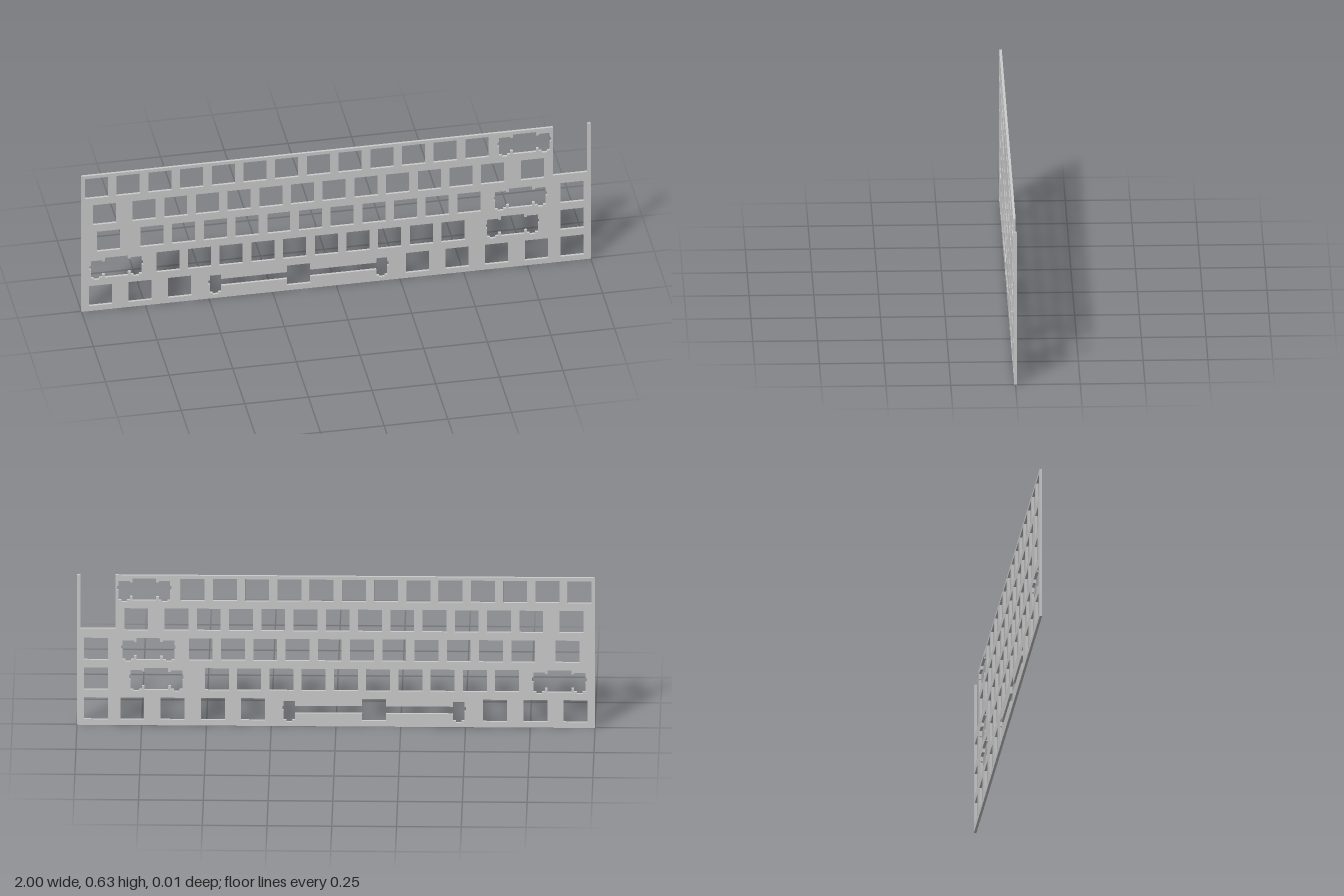
import * as THREE from 'three';

const U = 0.1245;            // key pitch
const MM = U / 19.05;        // one millimetre
const X0 = -1.003, Y0 = 0.0695; // left edge of the key field, centre of the bottom row
const H = 0.627, T = 0.0098;

// Key centres per row, bottom row first, in key pitches
const run = (start, n) => Array.from({ length: n }, (_, i) => start + i);
const ROWS = [
  [0.625, 1.875, 3.125, 10.625, 11.875, 13.125, 14.375, 15.5],
  [...run(2.75, 10), 15.5],
  [0.875, ...run(2.25, 11), 15.5],
  [0.75, ...run(2, 12), 14.25],
  run(0.5, 13),
];

// Wide keys: [row, centre, stabiliser offset mm, half height of the connecting slot mm]
const WIDE = [
  [0, 6.875, 50, 2.4],
  [1, 1.125, 11.95, 4.6],
  [1, 13.625, 11.95, 4.6],
  [2, 13.875, 11.95, 4.6],
  [4, 14, 11.95, 4.6],
];

const path = (pts, cx, cy) =>
  new THREE.Path(pts.map(([x, y]) => new THREE.Vector2(cx + x * MM, cy + y * MM)));

// Switch cutout joined to a stabiliser cutout on each side
function wideHole(cx, cy, s, k) {
  const half = [
    [7, 7], [7, k], [s - 3.375, k], [s - 3.375, 5.53], [s + 3.375, 5.53],
    [s + 3.375, 2.3], [s + 4.2, 2.3], [s + 4.2, -0.5], [s + 3.375, -0.5],
    [s + 3.375, -6.77], [s + 1.65, -6.77], [s + 1.65, -7.97], [s - 1.65, -7.97],
    [s - 1.65, -6.77], [s - 3.375, -6.77], [s - 3.375, -k], [7, -k], [7, -7],
  ];
  const mirrored = half.map(([x, y]) => [-x, y]).reverse();
  return path([...half, ...mirrored], cx, cy);
}

export function createModel() {
  const group = new THREE.Group();
  group.name = 'keyboardPlate';

  // Outline with the open corner and its thin outer post
  const outline = new THREE.Shape([
    [-1, 0], [1, 0], [1, H], [0.986, H], [0.986, 0.404],
    [0.852, 0.404], [0.852, H], [-1, H],
  ].map(([x, y]) => new THREE.Vector2(x, y)));

  // Square switch cutouts
  const a = 7.05;
  ROWS.forEach((row, r) => row.forEach((c) => {
    outline.holes.push(path([[-a, -a], [-a, a], [a, a], [a, -a]], X0 + c * U, Y0 + r * U));
  }));

  // Stabilised wide-key cutouts
  for (const [r, c, s, k] of WIDE) {
    outline.holes.push(wideHole(X0 + c * U, Y0 + r * U, s, k));
  }

  const geometry = new THREE.ExtrudeGeometry(outline, { depth: T, bevelEnabled: false });
  geometry.translate(0, 0, -T / 2);
  const plate = new THREE.Mesh(geometry, new THREE.MeshStandardMaterial({ color: 0xcccccc }));
  plate.name = 'switchPlate';
  group.add(plate);
  return group;
}
